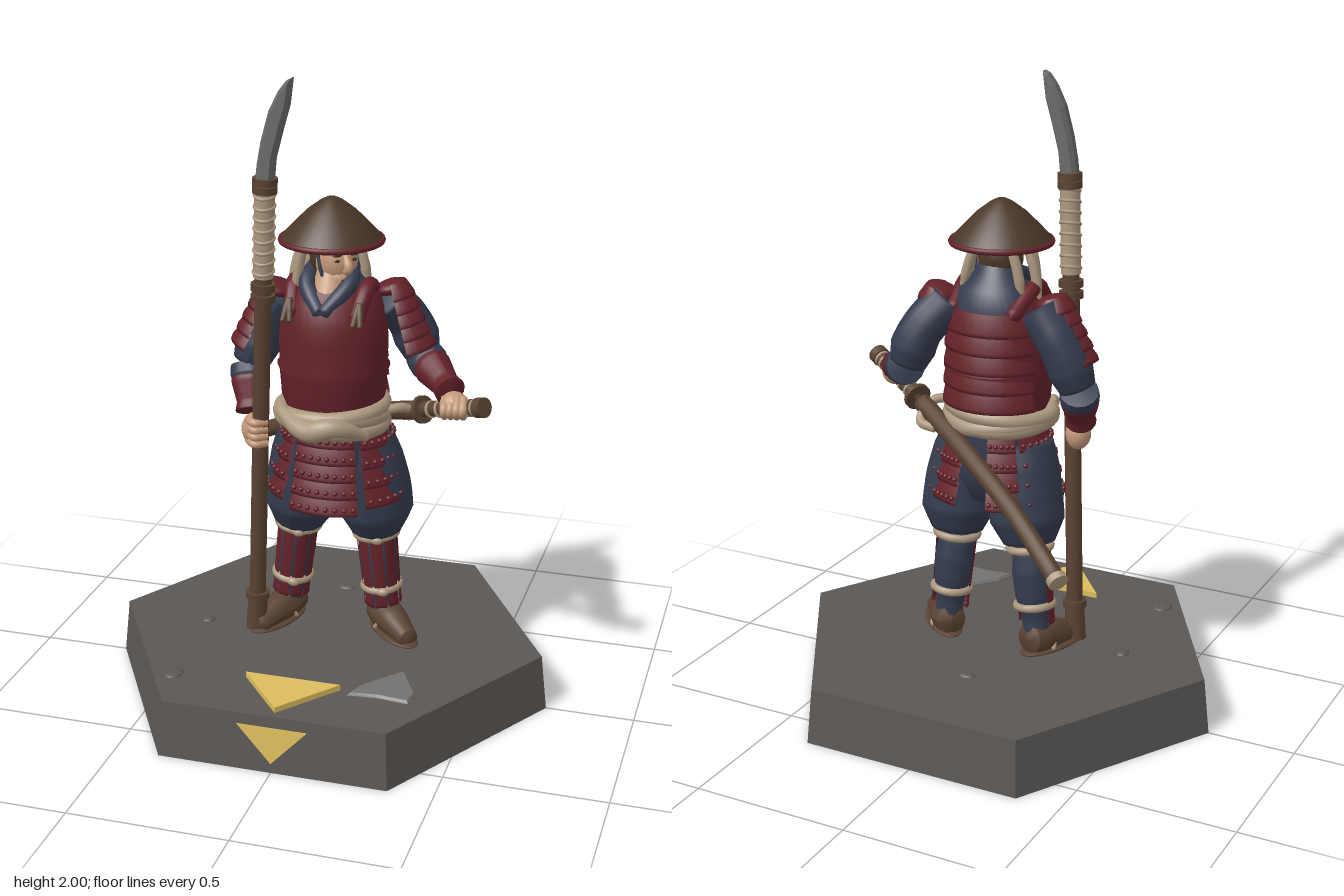
import * as THREE from 'three';

const V = (x, y, z) => new THREE.Vector3(x, y, z);
const P = (x, y) => new THREE.Vector2(x, y);
const rad = THREE.MathUtils.degToRad, lerp = THREE.MathUtils.lerp;

function material(name, color) {
  const m = new THREE.MeshStandardMaterial({ color, side: THREE.DoubleSide });
  m.name = name;
  return m;
}

export function createModel() {
  const model = new THREE.Group();
  model.name = 'spearmanOnBase';
  const stone = material('dark stone', 0x5a5754), rock = material('grey rock', 0x73716f);
  const yellow = material('yellow marker', 0xdcbc5c), red = material('dark red armour', 0x64222a);
  const navy = material('navy cloth', 0x343c4e), cream = material('cream cloth', 0xab977e);
  const brown = material('brown wood', 0x5a4232), hatBrown = material('dark brown straw', 0x4a3728);
  const skin = material('skin', 0xc49a7a), steel = material('steel', 0x6c6a68);

  function mesh(name, geo, mat, parent = model, x = 0, y = 0, z = 0) {
    const m = new THREE.Mesh(geo, mat);
    m.name = name;
    m.position.set(x, y, z);
    parent.add(m);
    return m;
  }
  function group(name, x, y, z, rx = 0, ry = 0, rz = 0) {
    const g = new THREE.Group();
    g.name = name;
    g.position.set(x, y, z);
    g.rotation.set(rx, ry, rz);
    model.add(g);
    return g;
  }
  function ball(name, mat, x, y, z, sx, sy, sz, parent = model) {
    const m = mesh(name, new THREE.SphereGeometry(1, 20, 14), mat, parent, x, y, z);
    m.scale.set(sx, sy, sz);
    return m;
  }
  // Closed tapered tube along a curve; radii are spread evenly over its length
  function limb(name, mat, pts, radii, parent = model, n = 24) {
    const curve = new THREE.CatmullRomCurve3(pts.map(p => V(...p)));
    const sides = 14, geo = new THREE.TubeGeometry(curve, n, 1, sides, false);
    const pos = geo.attributes.position, v = V(0, 0, 0);
    for (let i = 0; i <= n; i++) {
      const c = curve.getPointAt(i / n), f = i / n * (radii.length - 1);
      const k = Math.min(Math.floor(f), radii.length - 2);
      const r = i === 0 || i === n ? 0 : lerp(radii[k], radii[k + 1], f - k);
      for (let j = 0; j <= sides; j++) {
        const q = i * (sides + 1) + j;
        v.fromBufferAttribute(pos, q).sub(c).multiplyScalar(r).add(c);
        pos.setXYZ(q, v.x, v.y, v.z);
      }
    }
    geo.computeVertexNormals();
    return mesh(name, geo, mat, parent);
  }
  function lathe(name, mat, pts, x = 0, z = 0, sz = 1, parent = model) {
    const m = mesh(name, new THREE.LatheGeometry(pts.map(p => P(...p)), 36), mat, parent, x, 0, z);
    m.scale.z = sz;
    return m;
  }
  // Overlapping rows of curved armour plate, from top y0 to bottom y1, with rivets
  function plates(name, parent, r0, r1, y0, y1, rows, start, len, sz = 1, rivets = 0) {
    for (let k = 0; k < rows; k++) {
      const ra = lerp(r0, r1, k / rows), rb = lerp(r0, r1, (k + 1) / rows) + 0.004;
      const ya = lerp(y0, y1, k / rows), yb = lerp(y0, y1, (k + 1) / rows);
      const prof = [P(rb - 0.008, yb), P(rb + 0.007, yb), P(rb + 0.006, yb + 0.012), P(ra, ya + 0.01), P(ra - 0.01, ya + 0.01)];
      mesh(name, new THREE.LatheGeometry(prof, 12, rad(start), rad(len)), red, parent).scale.z = sz;
      for (let j = 0; j < rivets; j++) {
        const a = rad(start + len * (j + 0.5) / rivets), r = rb + 0.006;
        ball(name + 'Rivet', red, r * Math.sin(a), yb + 0.022, r * Math.cos(a) * sz, 0.008, 0.008, 0.008, parent);
      }
    }
  }
  const prism = (pts, depth, bevel = 0) => new THREE.ExtrudeGeometry(new THREE.Shape(pts.map(p => P(...p))),
    { depth, bevelEnabled: bevel > 0, bevelSize: bevel, bevelThickness: bevel * 1.4, bevelOffset: -bevel, bevelSegments: 1 });

  // Base, markers and stones
  mesh('hexBase', new THREE.CylinderGeometry(0.70, 0.72, 0.18, 6, 1, false, Math.PI / 6).toNonIndexed(), stone, model, 0, 0.09, 0)
    .geometry.computeVertexNormals();
  const topMark = prism([[-0.155, 0.39], [0.15, 0.39], [0, 0.58]], 0.02);
  mesh('topMarker', topMark.rotateX(Math.PI / 2), yellow, model, 0, 0.198, 0);
  const frontMark = mesh('frontMarker', prism([[-0.11, 0.145], [0.11, 0.145], [0, 0.03]], 0.008), yellow, model, 0, 0, 0.619);
  frontMark.rotation.x = -0.096;
  const slab = prism([[0.31, 0.23], [0.38, 0.36], [0.37, 0.42], [0.27, 0.41], [0.18, 0.42], [0.2, 0.36]], 0.006, 0.006);
  mesh('flatRock', slab.rotateX(Math.PI / 2), rock, model, 0, 0.183, 0);
  for (const [x, z, sx, sz] of [[-0.03, -0.31, 0.03, 0.02], [-0.4, 0.05, 0.022, 0.024], [-0.38, 0.43, 0.032, 0.038]])
    ball('pebble', stone, x, 0.18, z, sx, 0.01, sz);

  // Legs: trousers, shins with splints, ties and sandals
  lathe('trouserSeat', navy, [[0, 0.66], [0.12, 0.68], [0.165, 0.78], [0.15, 0.96]], 0.02, -0.005, 0.85);
  const legs = [
    { s: 'right', hip: [-0.06, 0.88, 0], mid: [-0.09, 0.68, -0.02], knee: [-0.115, 0.53, -0.04], ankle: [-0.155, 0.22, -0.06], turn: -0.35 },
    { s: 'left', hip: [0.1, 0.88, 0], mid: [0.14, 0.68, -0.02], knee: [0.145, 0.53, -0.04], ankle: [0.17, 0.22, -0.06], turn: 0.75 }];
  for (const { s, hip, mid, knee, ankle, turn } of legs) {
    limb(s + 'Trouser', navy, [hip, mid, knee], [0.1, 0.115, 0.12, 0.12, 0.075]);
    limb(s + 'Shin', navy, [knee, ankle], [0.055, 0.064, 0.06, 0.045, 0.045]);
    const g = group(s + 'Greave', ...knee, 0, turn * 0.5);
    g.quaternion.setFromUnitVectors(V(0, 1, 0), V(...knee).sub(V(...ankle)).normalize());
    for (let k = 0; k < 5; k++) plates(s + 'Splint', g, 0.066, 0.05, -0.01, -0.25, 1, -105 + k * 42 + turn * 20, 35);
    for (const [y, r] of [[0, 0.066], [-0.19, 0.057]]) {
      mesh(s + 'LegTie', new THREE.TorusGeometry(r, 0.013, 8, 24).rotateX(Math.PI / 2), cream, g, 0, y, 0);
      ball(s + 'TieKnot', cream, 0.02, y, r + 0.006, 0.02, 0.014, 0.014, g);
    }
    const f = group(s + 'Foot', ankle[0], 0.18, ankle[2], 0, turn, 0);
    ball('sole', brown, 0, 0.01, 0.06, 0.055, 0.013, 0.13, f);
    limb('footTop', brown, [[0, 0.06, -0.05], [0, 0.05, 0.04], [0, 0.025, 0.17]], [0.045, 0.055, 0.05, 0.04, 0.03], f);
    for (const q of [-1, 1]) limb('sandalCord', cream, [[q * 0.05, 0.015, 0.02], [q * 0.03, 0.07, 0.06], [0, 0.05, 0.14]], [0.007, 0.007], f);
  }

  // Armoured skirt
  const skirt = group('armourSkirt', 0.025, 0, 0);
  plates('frontPanel', skirt, 0.155, 0.195, 0.92, 0.655, 5, -33, 66, 0.88, 8);
  for (const [a, l] of [[38, 46], [88, 44], [136, 30]])
    for (const s of [a, 360 - a - l]) plates('sidePanel', skirt, 0.155, 0.21, 0.92, 0.68, 4, s, l, 0.84, 5);

  // Torso
  lathe('robe', navy, [[0.14, 1.24], [0.145, 1.3], [0.115, 1.36], [0.07, 1.4], [0.055, 1.43], [0.045, 1.43]], 0.015, -0.015, 0.85);
  lathe('cuirass', red, [[0.145, 0.96], [0.162, 1.0], [0.168, 1.08], [0.176, 1.1], [0.168, 1.11], [0.17, 1.19], [0.165, 1.25], [0.148, 1.31], [0.12, 1.35], [0.09, 1.365]], 0.015, 0.005, 0.93);
  const back = group('backPlates', 0.015, 0, 0);
  plates('backPlate', back, 0.155, 0.166, 1.29, 0.99, 5, 115, 130, 0.95);
  for (const s of [-1, 1]) {
    limb('collarFold', navy, [[0.015 + s * 0.06, 1.42, -0.02], [0.015 + s * 0.065, 1.37, 0.07], [0.015, 1.29, 0.145]], [0.018, 0.026, 0.026, 0.02]);
    limb('shoulderStrap', red, [[0.015 + s * 0.1, 1.27, 0.125], [0.015 + s * 0.115, 1.36, 0.03], [0.015 + s * 0.1, 1.29, -0.12]], [0.024, 0.026, 0.024]);
    for (const d of [-0.012, 0.012])
      limb('strapTassel', brown, [[0.015 + s * 0.11, 1.33, 0.105], [0.015 + s * 0.11 + d, 1.26, 0.145]], [0.011, 0.011, 0.008]);
  }
  const vee = mesh('bareChest', new THREE.CylinderGeometry(0.045, 0.06, 0.1, 16), skin, model, 0.018, 1.36, 0.05);
  vee.rotation.x = -0.35;

  // Sash wound round the waist, with knot
  for (const [y, tx, tz, t] of [[0.965, 0.04, 0.08, 0.026], [0.93, 0.02, -0.08, 0.027], [0.945, -0.1, 0.02, 0.027]]) {
    const m = mesh('sash', new THREE.TorusGeometry(0.16, t, 10, 40).rotateX(Math.PI / 2), cream, model, 0.012, y, 0.01);
    m.scale.z = 0.93;
    m.rotation.set(tx, 0, tz);
  }
  limb('sashTwist', cream, [[-0.13, 0.97, 0.11], [-0.02, 0.93, 0.18], [0.07, 0.95, 0.18], [0.16, 0.9, 0.1]], [0.02, 0.03, 0.035, 0.025, 0.015]);
  ball('sashKnot', cream, 0.03, 0.94, 0.175, 0.04, 0.035, 0.025);

  // Head, turned to its left
  const head = group('head', 0.025, 1.42, 0.02, 0, 0.75, 0);
  ball('skull', skin, 0, 0.02, 0, 0.066, 0.085, 0.075, head);
  ball('jaw', skin, 0, -0.035, 0.022, 0.05, 0.048, 0.052, head);
  ball('hair', hatBrown, 0, 0.025, -0.022, 0.07, 0.08, 0.066, head);
  limb('nose', skin, [[0, 0.045, 0.066], [0, 0.005, 0.088], [0, -0.008, 0.07]], [0.008, 0.014, 0.012], head);
  mesh('mouth', new THREE.BoxGeometry(0.032, 0.005, 0.006), hatBrown, head, 0, -0.032, 0.073);
  for (const s of [-1, 1]) {
    ball('eye', hatBrown, s * 0.027, 0.028, 0.067, 0.011, 0.005, 0.004, head);
    ball('brow', hatBrown, s * 0.027, 0.045, 0.066, 0.016, 0.005, 0.006, head);
    limb('chinCord', navy, [[s * 0.066, 0.05, 0.01], [s * 0.055, -0.03, 0.03], [0, -0.083, 0.035]], [0.006, 0.006], head);
  }
  for (const [x, z, dx, y] of [[-0.06, 0.06, -0.03, 1.31], [-0.07, 0.01, -0.05, 1.3], [-0.05, -0.05, -0.04, 1.33], [0.06, -0.06, 0.05, 1.34], [0.085, -0.02, 0.03, 1.35]])
    limb('hairLock', cream, [[x, 1.5, z], [x + dx * 0.6, 1.42, z], [x + dx, y, z]], [0.014, 0.016, 0.016, 0.008]);

  // Conical hat
  lathe('hat', hatBrown, [[0.06, 1.5], [0.15, 1.488], [0.16, 1.497], [0.115, 1.545], [0.075, 1.585], [0.035, 1.615], [0.015, 1.625], [0, 1.627]], 0.01, 0.01);
  mesh('hatRim', new THREE.TorusGeometry(0.154, 0.0095, 8, 40).rotateX(Math.PI / 2), red, model, 0.01, 1.495, 0.01);

  // Arms: sleeve, armoured forearm, hand and shoulder guard
  const arms = [
    { s: 'right', sh: [-0.13, 1.31, -0.02], up: [-0.21, 1.2, -0.03], el: [-0.265, 1.06, -0.01], wr: [-0.235, 0.93, 0.07], guard: [-0.165, 1.33, 0.0], tilt: -0.3, start: 185 },
    { s: 'left', sh: [0.15, 1.31, -0.06], up: [0.22, 1.22, -0.12], el: [0.265, 1.1, -0.14], wr: [0.39, 1.04, 0.01], guard: [0.175, 1.34, -0.07], tilt: 0.26, start: 15 }];
  for (const { s, sh, up, el, wr, guard, tilt, start } of arms) {
    limb(s + 'Sleeve', navy, [sh, up, el], [0.075, 0.07, 0.068, 0.072, 0.055]);
    limb(s + 'Elbow', navy, [el, [lerp(el[0], wr[0], 0.45), lerp(el[1], wr[1], 0.45), lerp(el[2], wr[2], 0.45)]], [0.06, 0.062, 0.05]);
    limb(s + 'Forearm', red, [[lerp(el[0], wr[0], 0.15), lerp(el[1], wr[1], 0.15), lerp(el[2], wr[2], 0.15)], wr], [0.056, 0.06, 0.052, 0.044, 0.05]);
    const g = group(s + 'ShoulderGuard', ...guard, 0, 0, tilt);
    plates('shoulderPlate', g, 0.05, 0.082, 0, -0.21, 5, start, 160);
    ball('shoulderCap', red, 0, -0.005, 0, 0.052, 0.024, 0.055, g);
  }
  ball('rightHand', skin, -0.22, 0.885, 0.085, 0.04, 0.052, 0.042);
  ball('leftHand', skin, 0.405, 1.01, 0.035, 0.045, 0.042, 0.045);
  for (let k = 0; k < 4; k++) {
    limb('rightFinger', skin, [[-0.235, 0.92 - k * 0.023, 0.1], [-0.205, 0.918 - k * 0.023, 0.128], [-0.17, 0.915 - k * 0.023, 0.1]], [0.013, 0.013, 0.011]);
    const x = 0.375 + k * 0.022, y = 0.998 + k * 0.006, z = 0.03 + k * 0.012;
    limb('leftFinger', skin, [[x, y + 0.035, z], [x + 0.006, y, z + 0.04], [x, y - 0.032, z]], [0.012, 0.013, 0.011]);
  }

  // Polearm
  const foot = V(-0.225, 0.19, 0.07), top = V(-0.162, 1.69, 0.125);
  const pole = group('polearm', ...foot);
  pole.quaternion.setFromUnitVectors(V(0, 1, 0), top.clone().sub(foot).normalize());
  const rod = (name, mat, r0, r1, y0, y1) => mesh(name, new THREE.CylinderGeometry(r1, r0, y1 - y0, 16), mat, pole, 0, (y0 + y1) / 2, 0);
  rod('shaft', brown, 0.026, 0.026, 0, 1.5);
  rod('footCap', brown, 0.035, 0.03, 0, 0.12);
  rod('gripWrap', cream, 0.031, 0.031, 1.2, 1.47);
  for (let k = 0; k < 8; k++)
    mesh('wrapTurn', new THREE.TorusGeometry(0.03, 0.006, 6, 18).rotateX(Math.PI / 2 + 0.25), cream, pole, 0, 1.22 + k * 0.034, 0);
  for (const y of [0.12, 1.135, 1.17, 1.475, 1.5]) rod('collar', brown, 0.038, 0.038, y - 0.011, y + 0.011);
  mesh('blade', prism([[-0.19, 1.68], [-0.135, 1.68], [-0.127, 1.76], [-0.106, 1.84], [-0.083, 1.92], [-0.073, 2.0],
    [-0.09, 1.992], [-0.115, 1.96], [-0.145, 1.9], [-0.17, 1.81], [-0.183, 1.74]], 0.022, 0.01), steel, model, 0, 0, 0.116);

  // Sheathed sword at the hip
  const S = [[-0.42, 0.64, -0.47], [-0.2, 0.765, -0.325], [0.05, 0.875, -0.175], [0.28, 0.957, -0.035]];
  limb('scabbard', brown, S, [0.027, 0.028, 0.029, 0.03], model, 40);
  limb('scabbardTip', cream, [[-0.421, 0.639, -0.471], [-0.403, 0.65, -0.459]], [0.031, 0.031]);
  limb('swordHandle', brown, [[0.28, 0.957, -0.035], [0.4, 1.0, 0.035], [0.51, 1.035, 0.1]], [0.024, 0.025, 0.027]);
  const dir = V(0.23, 0.078, 0.135).normalize();
  const ring = (name, mat, t, r, h) => mesh(name, new THREE.CylinderGeometry(r, r, h, 18), mat, model, 0.28 + 0.23 * t, 0.957 + 0.078 * t, -0.035 + 0.135 * t)
    .quaternion.setFromUnitVectors(V(0, 1, 0), dir);
  ring('swordGuard', brown, 0.05, 0.044, 0.014);
  for (const t of [0.2, 0.34, 0.72, 0.8, 0.88]) ring('handleWrap', cream, t, 0.0275, 0.009);
  ring('pommel', brown, 0.96, 0.031, 0.03);
  limb('scabbardCord', cream, [[0.17, 0.96, 0.02], [0.23, 0.96, -0.03], [0.24, 0.91, -0.1], [0.17, 0.9, -0.12]], [0.014, 0.016, 0.014]);
  return model;
}
